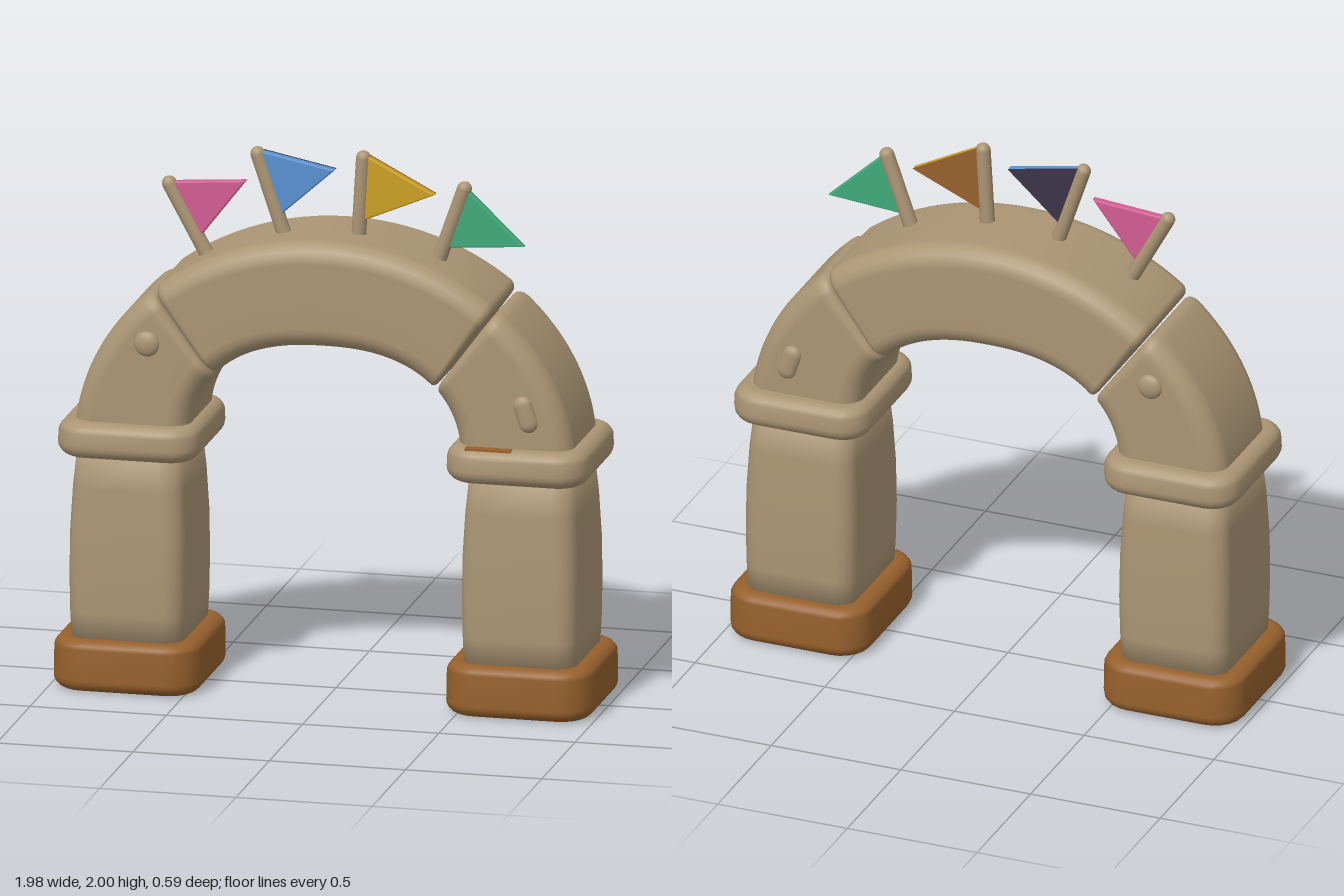
import * as THREE from 'three';

const mat = (name, color) => Object.assign(new THREE.MeshStandardMaterial({ color }), { name });
const STONE = mat('stone', 0xab9574);
const BROWN = mat('brown', 0x96602c);
const PINK = mat('pink', 0xd25d92);
const BLUE = mat('blue', 0x5891d0);
const YELLOW = mat('yellow', 0xcc9f22);
const GREEN = mat('green', 0x40aa7a);
const NAVY = mat('navy', 0x3a3448);

// Rounded rectangle as [u, v] pairs, counter-clockwise
function roundedRect(hu, hv, r, steps = 5) {
  const pts = [];
  for (let k = 0; k < 4; k++) {
    const su = k === 0 || k === 3 ? 1 : -1, sv = k < 2 ? 1 : -1;
    for (let j = 0; j <= steps; j++) {
      const a = (k + j / steps) * Math.PI / 2;
      pts.push([su * (hu - r) + r * Math.cos(a), sv * (hv - r) + r * Math.sin(a)]);
    }
  }
  return pts;
}

// Skin a list of closed rings and cap both ends
function loft(rings) {
  const m = rings[0].length, n = rings.length, pos = [], idx = [];
  rings.forEach(ring => ring.forEach(p => pos.push(p.x, p.y, p.z)));
  for (let i = 0; i < n - 1; i++) for (let j = 0; j < m; j++) {
    const a = i * m + j, b = i * m + (j + 1) % m;
    idx.push(a, b, b + m, a, b + m, a + m);
  }
  for (const end of [0, n - 1]) {
    const c = new THREE.Vector3();
    rings[end].forEach(p => c.addScaledVector(p, 1 / m));
    const ci = pos.length / 3;
    pos.push(c.x, c.y, c.z);
    for (let j = 0; j < m; j++) {
      const a = end * m + j, b = end * m + (j + 1) % m;
      if (end === 0) idx.push(ci, b, a); else idx.push(ci, a, b);
    }
  }
  const g = new THREE.BufferGeometry();
  g.setAttribute('position', new THREE.Float32BufferAttribute(pos, 3));
  g.setIndex(idx);
  g.computeVertexNormals();
  return g;
}

// Upright form from rows of [y, half width, half depth, corner radius]
const upright = rows => loft(rows.map(([y, hx, hz, r]) =>
  roundedRect(hz, hx, r).map(([u, v]) => new THREE.Vector3(v, y, u))));

// Soft block with rounded top and bottom edges
function cushion(y0, y1, hx, hz, r, e) {
  const rows = [];
  for (let q = 0; q <= 10; q++) {
    const top = q > 5, t = (top ? q - 6 + 1 : q) / 5 * Math.PI / 2;
    const inset = e * (1 - (top ? Math.cos(t) : Math.sin(t)));
    const y = top ? y1 - e + e * Math.sin(t) : y0 + e - e * Math.cos(t);
    rows.push([y, hx - inset, hz - inset, r - inset]);
  }
  return upright(rows);
}

// Outer and inner curves of the arch, by angle from the crown
const outerPoint = a => new THREE.Vector3(0.92 * Math.sin(a), 0.9 + 0.8 * Math.cos(a), 0);
const innerPoint = a => new THREE.Vector3(
  0.5 * Math.sign(a) * Math.abs(Math.sin(a)) ** 0.833, 0.9 + 0.41 * Math.cos(a) ** 0.833, 0);

// One arch stone: outer angles a0..a1, inner angles b0..b1, in degrees
function archStone(a0, a1, b0, b1, halfZ, length) {
  const e = 0.03, stations = [], Z = new THREE.Vector3(0, 0, 1);
  for (let q = 0; q <= 4; q++) {
    const t = q / 4 * Math.PI / 2;
    stations.push([e * (1 - Math.cos(t)) / length, e * (1 - Math.sin(t))]);
  }
  const s0 = e / length, ends = stations.map(([s, i]) => [1 - s, i]).reverse();
  for (let i = 1; i < 24; i++) stations.push([s0 + (1 - 2 * s0) * i / 24, 0]);
  stations.push(...ends);
  return loft(stations.map(([s, inset]) => {
    const o = outerPoint(THREE.MathUtils.degToRad(a0 + (a1 - a0) * s));
    const n = innerPoint(THREE.MathUtils.degToRad(b0 + (b1 - b0) * s));
    const mid = o.clone().add(n).multiplyScalar(0.5), half = o.distanceTo(n) / 2;
    const dir = o.sub(n).normalize();
    return roundedRect(half - inset, halfZ - inset, 0.075 - inset)
      .map(([u, v]) => mid.clone().addScaledVector(dir, u).addScaledVector(Z, v));
  }));
}

export function createModel() {
  const model = new THREE.Group();
  model.name = 'archway';
  const add = (name, geo, material, parent = model) => {
    const mesh = new THREE.Mesh(geo, material);
    mesh.name = name;
    parent.add(mesh);
    return mesh;
  };

  // Two legs: base, tapered column and collar
  for (const side of [-1, 1]) {
    const leg = new THREE.Group();
    leg.name = side > 0 ? 'leftLeg' : 'rightLeg';
    leg.position.x = side * 0.72;
    model.add(leg);
    add('base', cushion(0, 0.19, 0.27, 0.293, 0.12, 0.045), BROWN, leg);
    add('column', upright([
      [0.15, 0.205, 0.238, 0.07], [0.28, 0.211, 0.243, 0.07], [0.42, 0.213, 0.246, 0.07],
      [0.58, 0.211, 0.243, 0.07], [0.74, 0.203, 0.234, 0.07], [0.9, 0.188, 0.222, 0.07],
    ]), STONE, leg);
    add('collar', cushion(0.86, 0.99, 0.26, 0.29, 0.11, 0.05), STONE, leg).position.x = -side * 0.007;
  }

  // Arch stones: crown and two haunches
  add('crownStone', archStone(-42.8, 42.8, -50.6, 50.6, 0.23, 1.2), STONE);
  add('leftHaunch', archStone(43.4, 87, 51.4, 86, 0.224, 0.42), STONE);
  add('rightHaunch', archStone(-87, -43.4, -86, -51.4, 0.224, 0.42), STONE);

  // Raised knobs on both faces of the haunches
  for (const z of [-0.222, 0.222]) {
    const round = add('roundKnob', new THREE.SphereGeometry(0.047, 16, 10), STONE);
    round.position.set(-0.64, 1.29, z);
    round.scale.z = 0.5;
    const long = add('longKnob', new THREE.CapsuleGeometry(0.036, 0.065, 5, 12), STONE);
    long.position.set(0.75, 1.12, z);
    long.rotation.z = 0.3;
    long.scale.z = 0.65;
  }

  // Worn patch on the left collar
  add('collarPatch', new THREE.BoxGeometry(0.17, 0.008, 0.035), BROWN).position.set(0.62, 0.987, 0.245);

  // Pennants: pole foot, pole tip, three flag corners, front and back colours
  const pennants = [
    ['pink', [-0.455, 1.56], [-0.605, 1.835], [[-0.59, 1.845], [-0.49, 1.645], [-0.32, 1.865]], PINK, PINK],
    ['blue', [-0.175, 1.65], [-0.28, 1.965], [[-0.27, 1.98], [-0.19, 1.75], [0.005, 1.925]], BLUE, NAVY],
    ['yellow', [0.088, 1.65], [0.107, 1.975], [[0.115, 1.99], [0.11, 1.745], [0.372, 1.857]], YELLOW, BROWN],
    ['green', [0.375, 1.59], [0.478, 1.885], [[0.48, 1.895], [0.41, 1.665], [0.7, 1.686]], GREEN, GREEN],
  ];
  const flagZ = 0.027;
  for (const [name, foot, tip, corners, front, back] of pennants) {
    const group = new THREE.Group();
    group.name = name + 'Pennant';
    group.position.z = flagZ;
    model.add(group);
    const dx = tip[0] - foot[0], dy = tip[1] - foot[1];
    const pole = add('pole', new THREE.CapsuleGeometry(0.027, Math.hypot(dx, dy), 5, 14), STONE, group);
    pole.position.set((foot[0] + tip[0]) / 2, (foot[1] + tip[1]) / 2, 0);
    pole.rotation.z = -Math.atan2(dx, dy);
    const shape = new THREE.Shape(corners.map(c => new THREE.Vector2(...c)));
    const cloth = add('flag', new THREE.ExtrudeGeometry(shape, {
      depth: 0.014, bevelThickness: 0.008, bevelSize: 0.008, bevelOffset: -0.008, bevelSegments: 3,
    }), front, group);
    cloth.position.z = -0.007;
    if (back !== front) {
      // Differently coloured reverse side
      const reverse = add('flagBack', new THREE.ExtrudeGeometry(shape, { depth: 0.005, bevelEnabled: false }), back, group);
      reverse.position.z = -0.018;
    }
  }
  return model;
}
